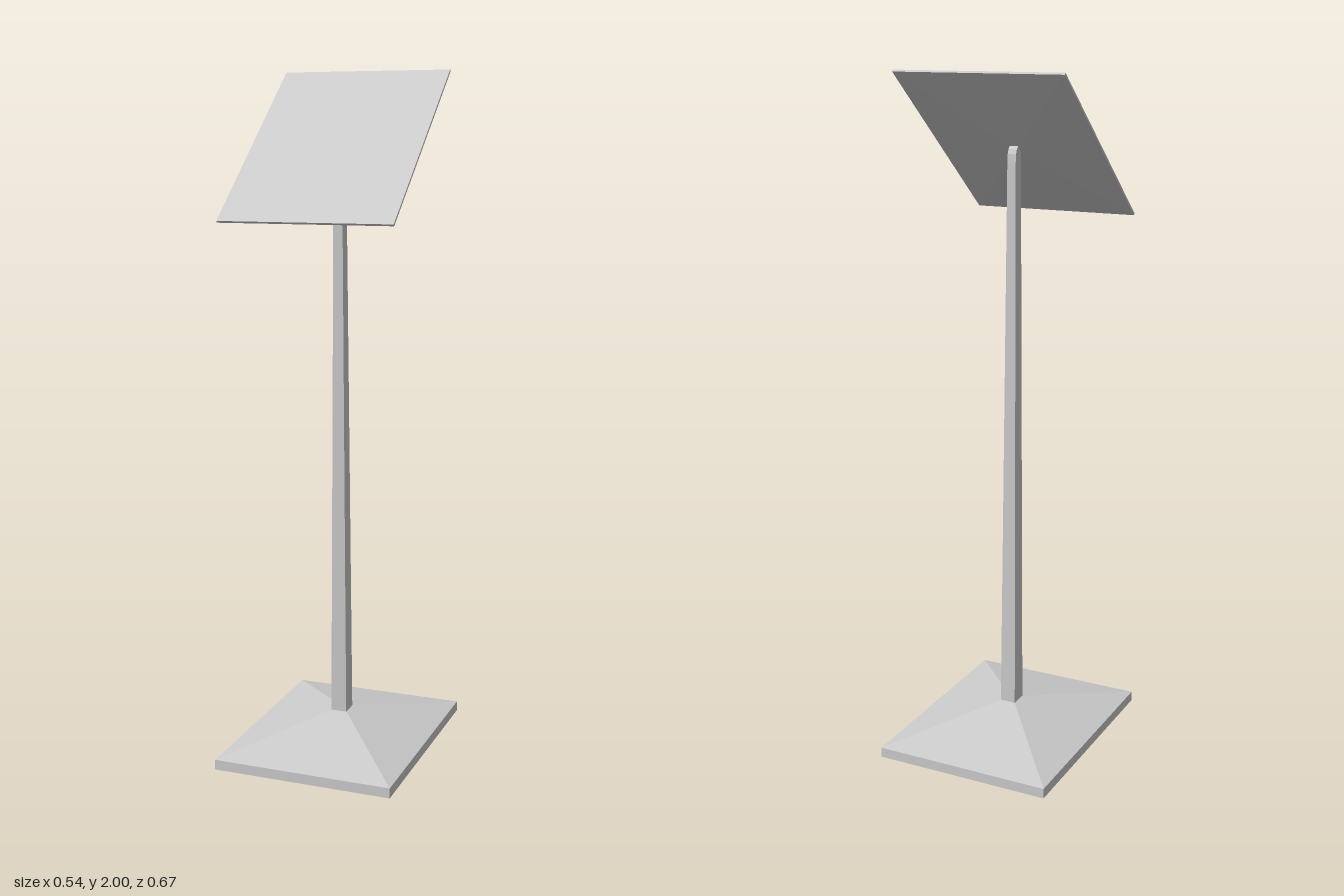
import * as THREE from 'three';

// Loft through rectangles given bottom to top as [y, halfWidth, zBack, zFront], closed at both ends.
function loft(sections) {
  const pos = [], index = [];
  for (const [y, w, zb, zf] of sections) pos.push(-w, y, zf, w, y, zf, w, y, zb, -w, y, zb);
  for (let s = 0; s < sections.length - 1; s++) {
    for (let i = 0; i < 4; i++) {
      const a = s * 4 + i, b = s * 4 + (i + 1) % 4;
      index.push(a, b, b + 4, a, b + 4, a + 4);
    }
  }
  const t = (sections.length - 1) * 4;
  index.push(0, 2, 1, 0, 3, 2, t, t + 1, t + 2, t, t + 2, t + 3);
  const indexed = new THREE.BufferGeometry();
  indexed.setAttribute('position', new THREE.Float32BufferAttribute(pos, 3));
  indexed.setIndex(index);
  const geometry = indexed.toNonIndexed();
  geometry.computeVertexNormals();
  return geometry;
}

export function createModel() {
  const group = new THREE.Group();
  const grey = new THREE.MeshStandardMaterial({ color: 0xcccccc });
  grey.name = 'light grey';

  const add = (name, sections) => {
    const mesh = new THREE.Mesh(loft(sections), grey);
    mesh.name = name;
    group.add(mesh);
    return mesh;
  };

  // Foot: flat slab rising in a low pyramid to the post
  add('base', [
    [0, 0.268, -0.337, 0.337],
    [0.03, 0.268, -0.337, 0.337],
    [0.102, 0.022, -0.024, 0.024],
  ]);

  // Tapered post leaning slightly forward, rounded at the top
  add('post', [
    [0.09, 0.024, -0.026, 0.028],
    [1.74, 0.013, 0.0, 0.034],
    [1.768, 0.013, 0.002, 0.034],
    [1.782, 0.013, 0.008, 0.033],
    [1.79, 0.013, 0.016, 0.03],
  ]);

  // Tilted reading panel: flat face, thin rim, shallow pyramid behind
  const panel = add('panel', [
    [-0.022, 0.002, -0.002, 0.002],
    [-0.0065, 0.255, -0.3265, 0.3265],
    [0, 0.255, -0.3265, 0.3265],
  ]);
  panel.position.set(0, 1.7915, 0.0455);
  panel.rotation.x = 0.692;

  return group;
}
